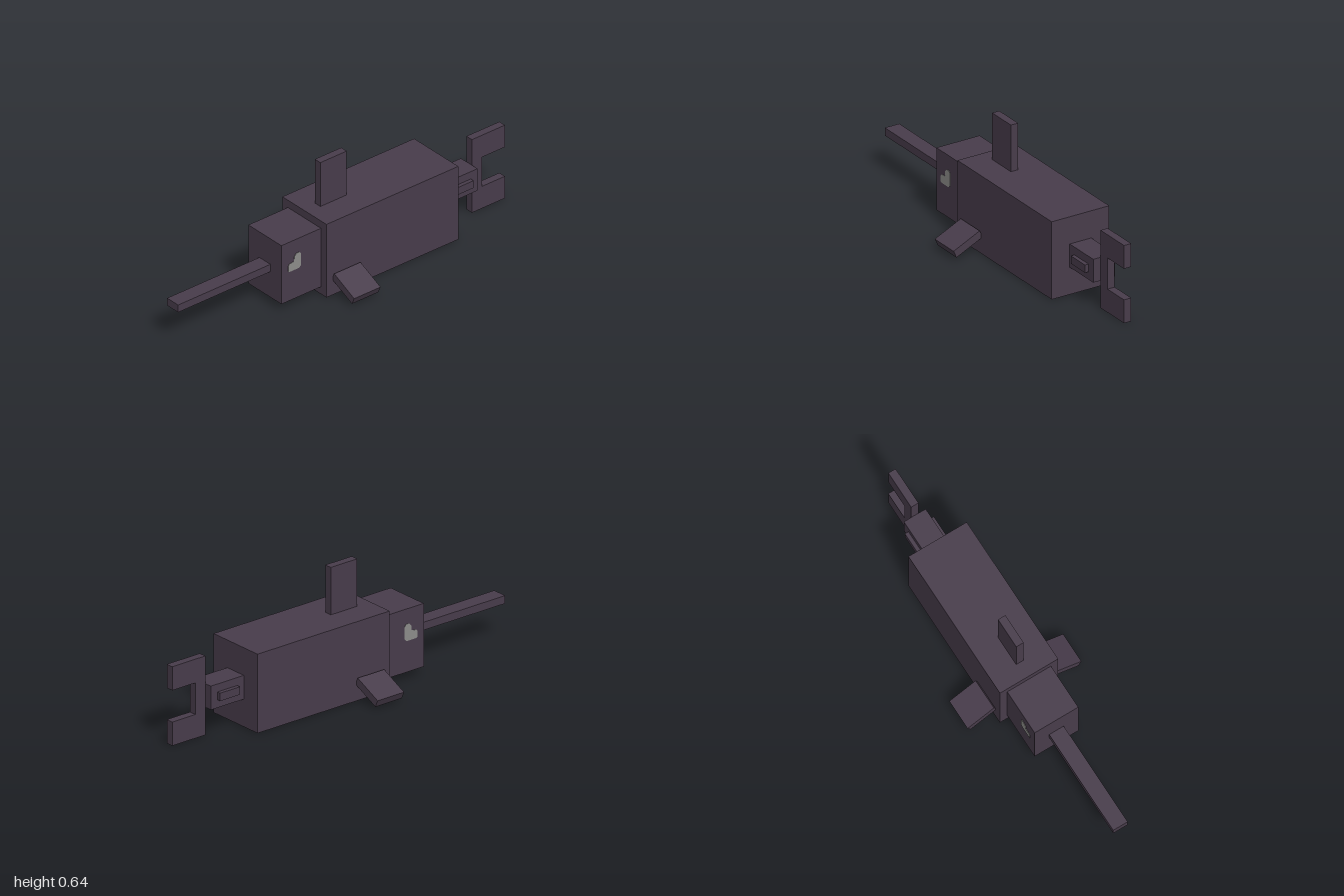
import * as THREE from 'three';

export function createModel() {
  const skin = new THREE.MeshStandardMaterial({ name: 'darkPurpleSkin', color: 0x483c4b });
  const belly = new THREE.MeshStandardMaterial({ name: 'greyBelly', color: 0x72726c });
  const eyeGrey = new THREE.MeshStandardMaterial({ name: 'eyeGrey', color: 0x8c8c8a });
  const model = new THREE.Group();
  model.name = 'swordfish';

  // box from its min and max corners
  const box = (name, [x0, y0, z0], [x1, y1, z1], material = skin) => {
    const mesh = new THREE.Mesh(new THREE.BoxGeometry(x1 - x0, y1 - y0, z1 - z0), material);
    mesh.position.set((x0 + x1) / 2, (y0 + y1) / 2, (z0 + z1) / 2);
    mesh.name = name;
    model.add(mesh);
    return mesh;
  };
  const outline = (points) => new THREE.Shape(points.map(([a, b]) => new THREE.Vector2(a, b)));

  // body sections with a pale underside
  const countershaded = [skin, skin, skin, belly, skin, skin];
  box('body', [-0.16, 0, -0.6], [0.16, 0.4, 0.2], countershaded);
  box('head', [-0.12, 0.04, 0.2], [0.12, 0.36, 0.44], countershaded);
  box('tailStem', [-0.06, 0.14, -0.8], [0.06, 0.26, -0.6], countershaded);

  box('bill', [-0.04, 0.18, 0.44], [0.04, 0.22, 1]);
  box('dorsalFin', [-0.02, 0.4, -0.04], [0.02, 0.64, 0.12]);

  // forked tail fin, drawn as (-z, y) and turned into the side plane
  const fork = outline([[0.8, 0], [1, 0], [1, 0.12], [0.86, 0.12],
    [0.86, 0.28], [1, 0.28], [1, 0.4], [0.8, 0.4]]);
  const tailGeometry = new THREE.ExtrudeGeometry(fork, { depth: 0.04, bevelEnabled: false });
  tailGeometry.translate(0, 0, -0.02).rotateY(Math.PI / 2);
  const tailFin = new THREE.Mesh(tailGeometry, skin);
  tailFin.name = 'tailFin';
  model.add(tailFin);

  // eye outline as (-z, y)
  const eyeShape = outline([[-0.4, 0.203], [-0.393, 0.198], [-0.335, 0.198], [-0.322, 0.21],
    [-0.322, 0.272], [-0.332, 0.284], [-0.35, 0.284], [-0.363, 0.27], [-0.365, 0.245],
    [-0.393, 0.241], [-0.4, 0.232]]);

  for (const side of [-1, 1]) {
    const label = side > 0 ? 'left' : 'right';

    // drooping pectoral fin
    const fin = box(label + 'PectoralFin', [-0.08, -0.02, 0], [0.08, 0.02, 0.16]);
    fin.position.set(side * 0.232, 0.066, 0.08);
    fin.rotation.z = -side * THREE.MathUtils.degToRad(25);

    // small keel on the tail stem
    const x = [side * 0.06, side * 0.08].sort((a, b) => a - b);
    box(label + 'TailKeel', [x[0], 0.18, -0.76], [x[1], 0.22, -0.64]);

    // painted eye
    const eyeGeometry = new THREE.ExtrudeGeometry(eyeShape, { depth: 0.004, bevelEnabled: false });
    eyeGeometry.translate(0, 0, -0.002).rotateY(Math.PI / 2);
    const eye = new THREE.Mesh(eyeGeometry, eyeGrey);
    eye.position.x = side * 0.12;
    eye.name = label + 'Eye';
    model.add(eye);
  }
  return model;
}
